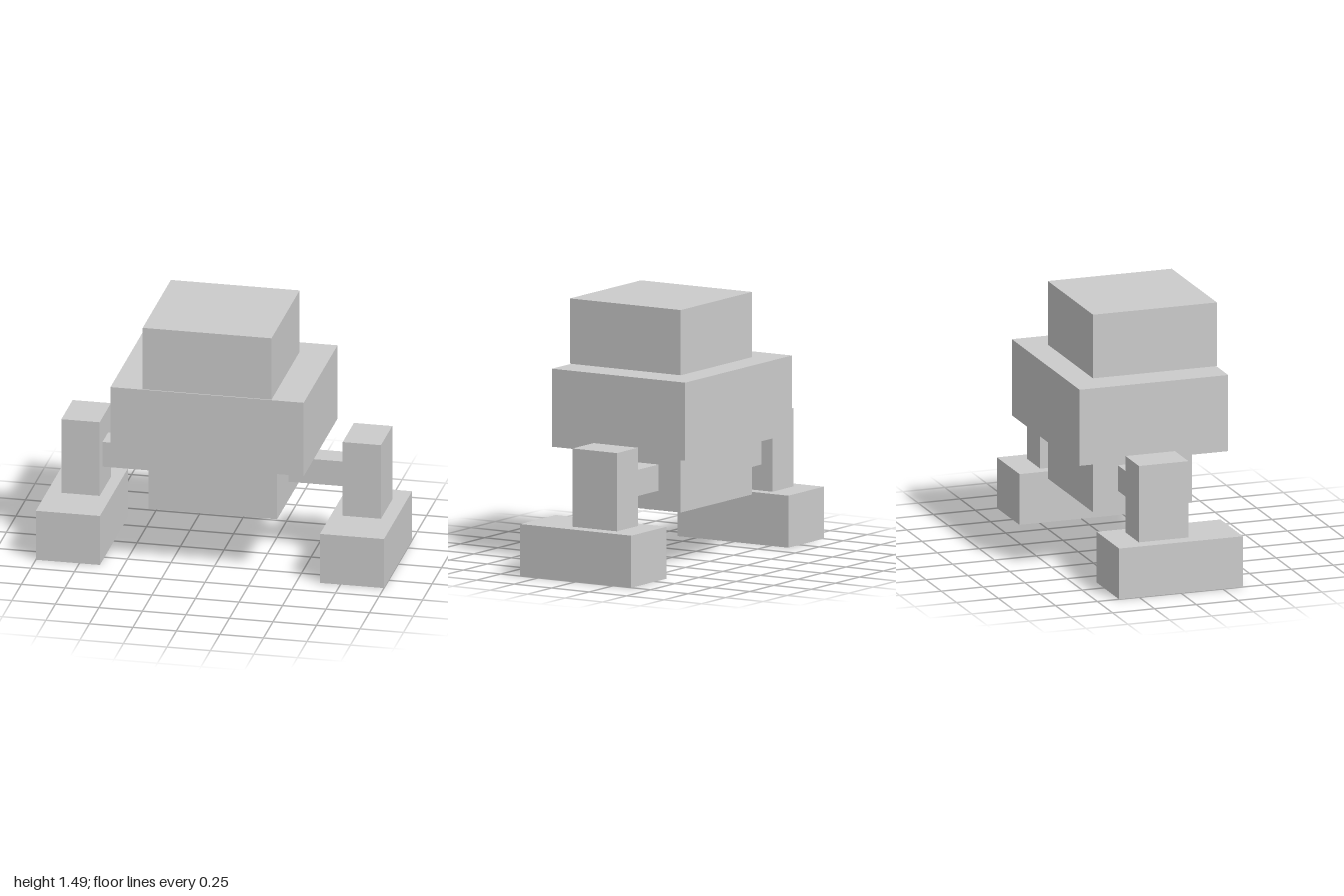
import * as THREE from 'three';

const material = new THREE.MeshStandardMaterial({ color: 0xcccccc, flatShading: true });

// Box given by its [min, max] extent on each axis
function box(name, [x0, x1], [y0, y1], [z0, z1]) {
  const mesh = new THREE.Mesh(new THREE.BoxGeometry(x1 - x0, y1 - y0, z1 - z0), material);
  mesh.position.set((x0 + x1) / 2, (y0 + y1) / 2, (z0 + z1) / 2);
  mesh.name = name;
  return mesh;
}

// Same box on either side: side is +1 for left, -1 for right
function sideBox(name, side, [x0, x1], y, z) {
  return box(name, side > 0 ? [x0, x1] : [-x1, -x0], y, z);
}

export function createModel() {
  const model = new THREE.Group();
  model.name = 'robot';

  // Central stack
  model.add(
    box('pelvis', [-0.37, 0.37], [0.333, 0.667], [-0.296, 0.296]),
    box('torso', [-0.555, 0.555], [0.667, 1.111], [-0.444, 0.444]),
    box('neck', [-0.074, 0.074], [1.107, 1.115], [-0.074, 0.074]),
    box('head', [-0.37, 0.37], [1.114, 1.485], [-0.296, 0.444])
  );

  // Mirrored legs: hip bar, upright leg and long foot
  for (const side of [1, -1]) {
    const leg = new THREE.Group();
    leg.name = side > 0 ? 'leftLeg' : 'rightLeg';
    leg.add(
      sideBox('hipBar', side, [0.37, 0.698], [0.444, 0.593], [-0.148, 0]),
      sideBox('shin', side, [0.698, 0.918], [0.296, 0.741], [-0.222, 0.074]),
      sideBox('foot', side, [0.632, 1], [0, 0.296], [-0.37, 0.37])
    );
    model.add(leg);
  }
  return model;
}
